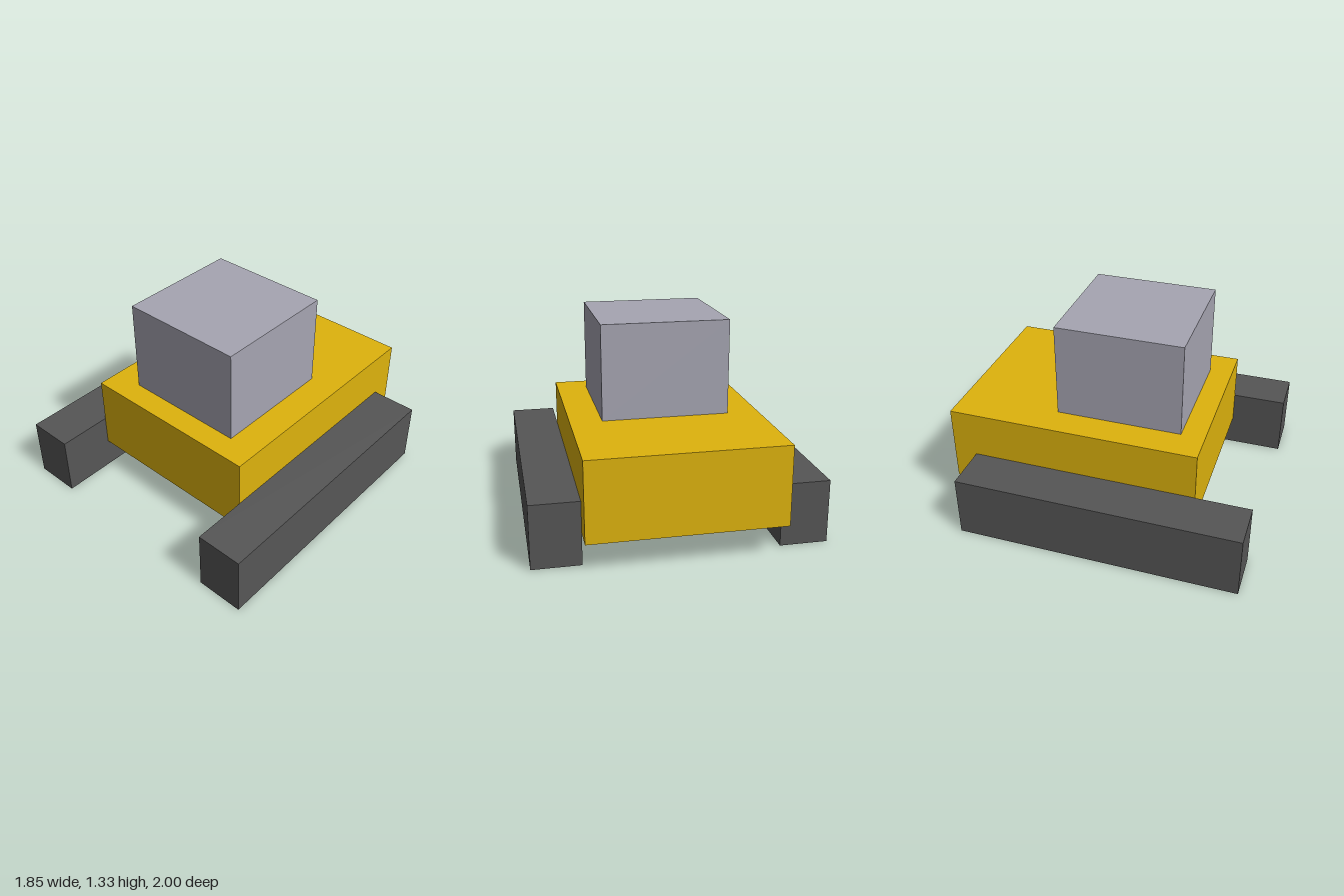
import * as THREE from 'three';

// One modelling unit; the whole vehicle is 19.5 units long.
const U = 2 / 19.5;

function block(name, color, [w, h, d], [x, bottom, z]) {
  const mesh = new THREE.Mesh(
    new THREE.BoxGeometry(w * U, h * U, d * U),
    new THREE.MeshStandardMaterial({ color })
  );
  mesh.name = name;
  mesh.position.set(x * U, (bottom + h / 2) * U, z * U);
  return mesh;
}

export function createModel() {
  const group = new THREE.Group();
  group.name = 'trackedVehicle';

  // Hull, set back between the tracks
  group.add(block('hull', 0xdeb30d, [12, 5, 16], [0, 2, -1.75]));

  // Cab on top of the hull
  group.add(block('cab', 0xa6a5b2, [8, 6, 8], [0, 7, 0.75]));

  // Tracks, reaching ahead of the hull on both sides
  for (const [name, side] of [['leftTrack', 1], ['rightTrack', -1]]) {
    group.add(block(name, 0x565656, [3, 4, 18], [side * 7.5, 0, 0.75]));
  }

  return group;
}
